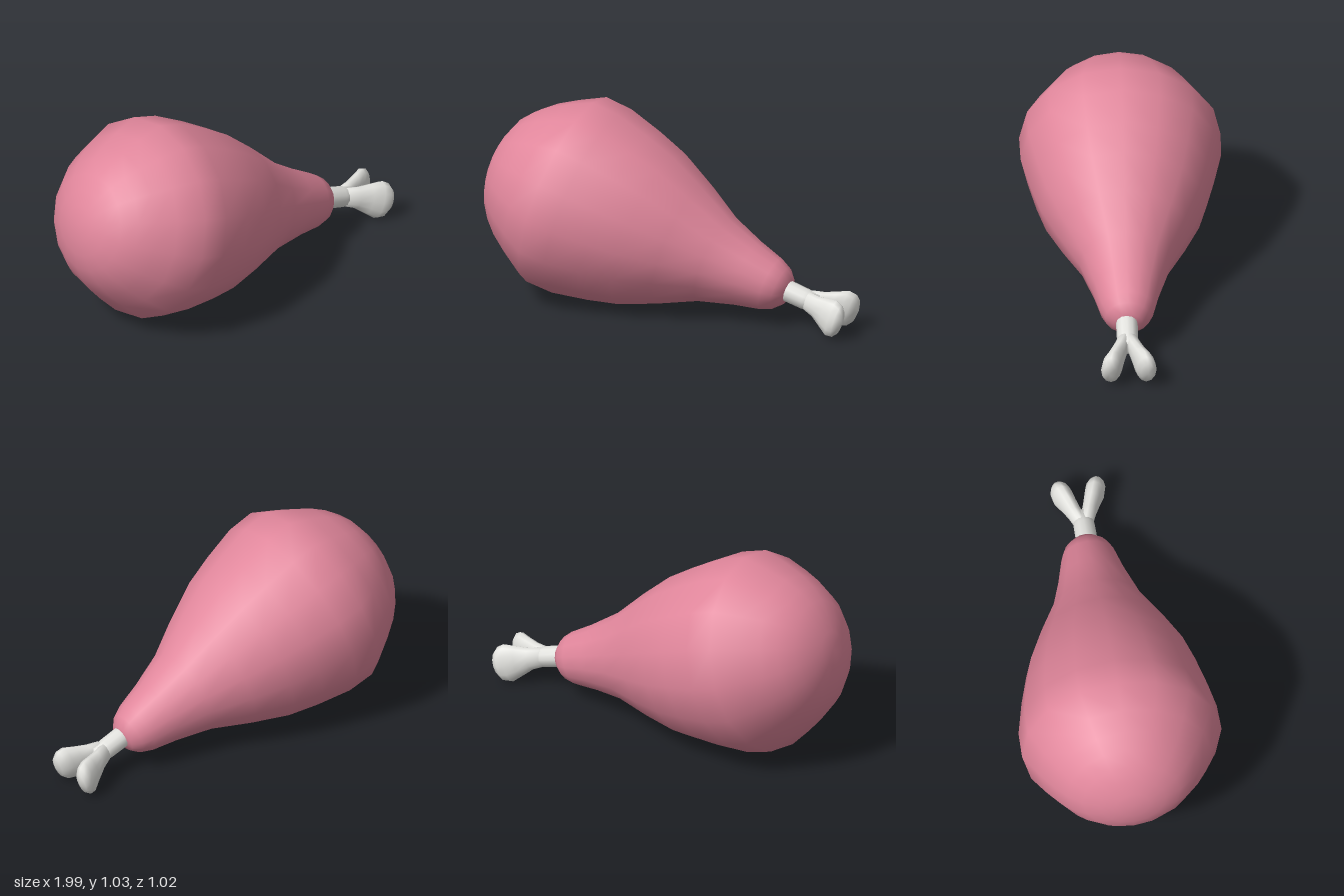
import * as THREE from 'three';
import { mergeVertices } from 'three/addons/utils/BufferGeometryUtils.js';

const meat = new THREE.MeshStandardMaterial({ color: 0xe0869b });
meat.name = 'pink meat';
const bone = new THREE.MeshStandardMaterial({ color: 0xe2e2de });
bone.name = 'pale bone';

// Lathe around y with seamless smooth normals; an optional rule moves each row of vertices
function turned(profile, sides, move) {
  const geo = new THREE.LatheGeometry(profile.map(([r, y]) => new THREE.Vector2(r, y)), sides);
  const pos = geo.attributes.position;
  if (move) {
    for (let i = 0; i < pos.count; i++) {
      const [x, z] = move(i % profile.length, pos.getX(i), pos.getZ(i));
      pos.setX(i, x);
      pos.setZ(i, z);
    }
  }
  geo.deleteAttribute('uv');
  geo.deleteAttribute('normal');
  const merged = mergeVertices(geo, 1e-5);
  merged.computeVertexNormals();
  return merged;
}

function part(name, geometry, material) {
  const mesh = new THREE.Mesh(geometry, material);
  mesh.name = name;
  return mesh;
}

export function createModel() {
  const model = new THREE.Group();
  model.name = 'drumstick';

  // Tilted frame: local y runs along the leg towards the bone, local -x is its upper side
  const leg = new THREE.Group();
  leg.name = 'leg';
  leg.position.set(-0.585, 0.55, 0);
  leg.rotation.z = -1.862;
  model.add(leg);

  // Meat: [radius, distance along the leg]
  const meatProfile = [
    [0, -0.406], [0.09, -0.4], [0.17, -0.377], [0.25, -0.342], [0.32, -0.285],
    [0.38, -0.217], [0.44, -0.125], [0.511, 0], [0.508, 0.147], [0.466, 0.332],
    [0.42, 0.49], [0.335, 0.675], [0.235, 0.868], [0.175, 1.05], [0.14, 1.185],
    [0.115, 1.24], [0.074, 1.28], [0, 1.3],
  ];
  leg.add(part('meat', turned(meatProfile, 16), meat));

  const boneEnd = new THREE.Group();
  boneEnd.name = 'bone';
  boneEnd.position.z = 0.006;
  leg.add(boneEnd);

  // Shaft, hidden at both ends
  const shaftProfile = [[0, 1.2], [0.055, 1.2], [0.055, 1.3], [0.054, 1.38], [0.05, 1.45], [0, 1.48]];
  boneEnd.add(part('boneShaft', turned(shaftProfile, 12, (j, x, z) => [x - 0.008, z]), bone));

  // Two flattened knuckles splaying sideways: [distance, upward offset, side offset, half height, half width]
  const sections = [
    [1.37, 0.01, 0.012, 0, 0], [1.4, 0.01, 0.015, 0.05, 0.037], [1.46, 0.013, 0.037, 0.058, 0.04],
    [1.52, 0.012, 0.06, 0.082, 0.045], [1.57, 0.012, 0.08, 0.102, 0.052],
    [1.605, 0.013, 0.09, 0.092, 0.051], [1.63, 0.016, 0.096, 0.062, 0.036], [1.643, 0.02, 0.1, 0, 0],
  ];
  for (const side of [1, -1]) {
    const geo = turned(sections.map((s) => [s[4], s[0]]), 12, (j, x, z) => {
      const [, up, out, halfHeight, halfWidth] = sections[j];
      return [(halfWidth ? (x * halfHeight) / halfWidth : 0) - up, z + side * out];
    });
    boneEnd.add(part(side > 0 ? 'frontKnuckle' : 'backKnuckle', geo, bone));
  }
  return model;
}
